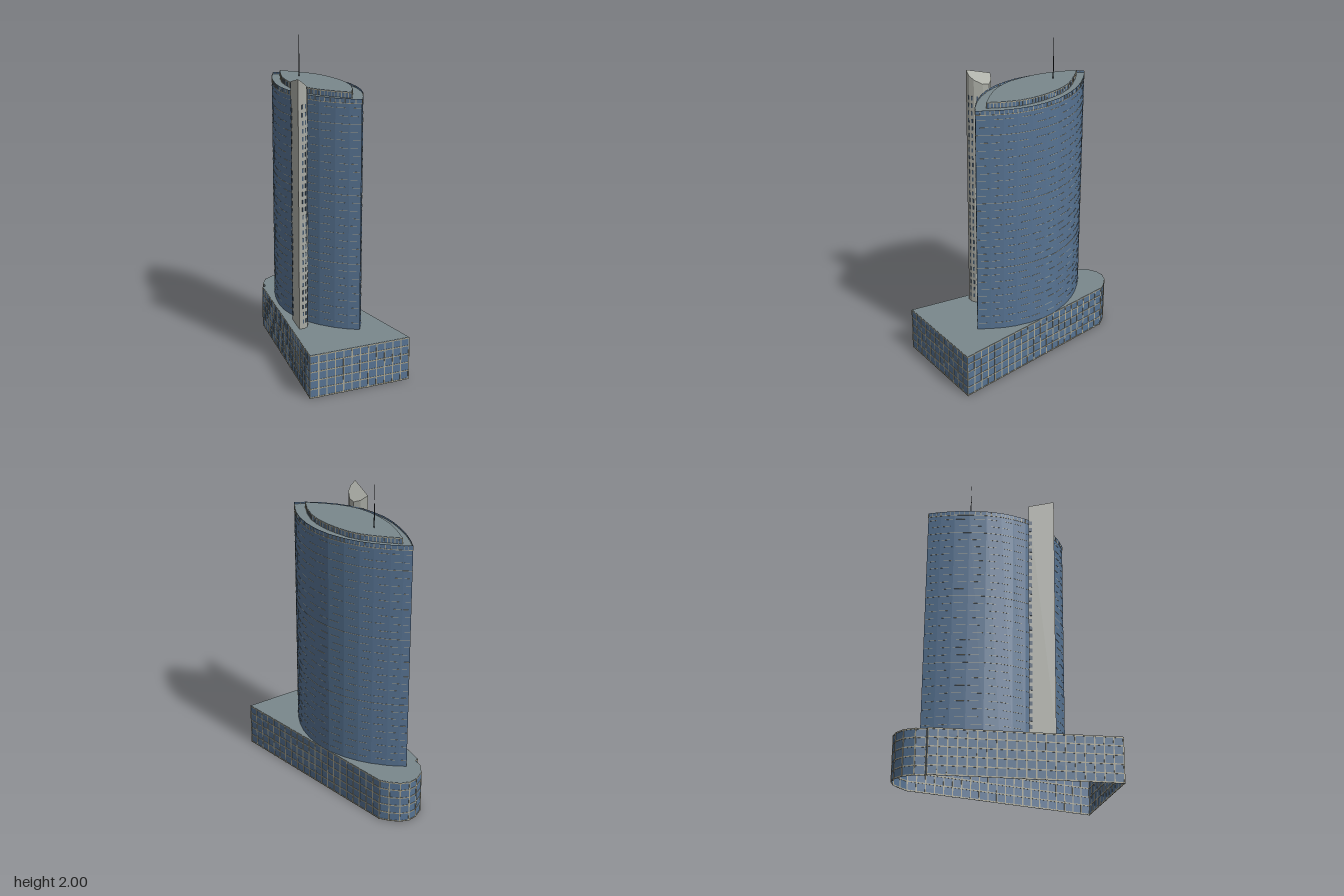
import * as THREE from 'three';
import { mergeGeometries } from 'three/addons/utils/BufferGeometryUtils.js';

const mat = (name, color, side = THREE.FrontSide) => {
  const m = new THREE.MeshStandardMaterial({ color, side });
  m.name = name;
  return m;
};

// Plan outlines, as [x, z] corners
const PODIUM = [[0.617, 0.048], [0.2, 0.547], [-0.565, -0.265], [-0.555, -0.285], [-0.597, -0.33],
  [-0.618, -0.4], [-0.605, -0.47], [-0.575, -0.515], [-0.525, -0.542], [-0.46, -0.55], [-0.4, -0.547]];
const TOWER_BACK = [[-0.52, -0.363], [-0.445, -0.38], [-0.306, -0.39], [-0.18, -0.378], [-0.025, -0.328],
  [0.1, -0.247], [0.2, -0.14], [0.26, -0.035], [0.304, 0.081]];
const TOWER_FRONT = [[0.304, 0.081], [0.2, 0.113], [0.05, 0.124], [-0.08, 0.103], [-0.197, 0.05],
  [-0.296, -0.02], [-0.396, -0.137], [-0.47, -0.253], [-0.52, -0.363]];
const CAP_BACK = [[-0.452, -0.33], [-0.313, -0.34], [-0.187, -0.332], [-0.075, -0.29], [0.05, -0.213],
  [0.15, -0.108], [0.22, 0.04]];
const CAP_FRONT = [[0.22, 0.04], [0.05, 0.055], [-0.065, 0.04], [-0.164, 0], [-0.28, -0.088],
  [-0.363, -0.18], [-0.452, -0.33]];
const FIN = [[-0.137, 0.124], [-0.098, 0.106], [-0.055, 0.107], [-0.022, 0.135], [-0.002, 0.184],
  [-0.006, 0.214], [-0.028, 0.24]];

const smooth = (pts, n) =>
  new THREE.CatmullRomCurve3(pts.map(([x, z]) => new THREE.Vector3(x, 0, z)))
    .getPoints(n).slice(0, n).map((p) => [p.x, p.z]);

const edges = (pts) => pts.map((a, i) => [a, pts[(i + 1) % pts.length]]);
const length = (a, b) => Math.hypot(b[0] - a[0], b[1] - a[1]);
const mix = (a, b, t) => [a[0] + (b[0] - a[0]) * t, a[1] + (b[1] - a[1]) * t];
const planShape = (pts) => new THREE.Shape(pts.map(([x, z]) => new THREE.Vector2(x, -z)));

// Solid prism standing on a plan outline
function prism(pts, y0, y1) {
  return new THREE.ExtrudeGeometry(planShape(pts), { depth: y1 - y0, bevelEnabled: false })
    .rotateX(-Math.PI / 2).translate(0, y0, 0);
}

// Thin upright wall that follows a plan outline
function ribbon(pts, y0, y1) {
  const pos = [];
  for (const [a, b] of edges(pts)) {
    const [p, q, r, s] = [[a, y0], [b, y0], [b, y1], [a, y1]].map(([c, y]) => [c[0], y, c[1]]);
    // outlines run clockwise or not; the walls are double sided
    pos.push(...p, ...q, ...r, ...p, ...r, ...s);
  }
  const g = new THREE.BufferGeometry();
  g.setAttribute('position', new THREE.Float32BufferAttribute(pos, 3));
  g.computeVertexNormals();
  return g;
}

// Slim bar lying on a wall from a to b, between y0 and y1
function bar(a, b, y0, y1, depth) {
  const m = mix(a, b, 0.5);
  return new THREE.BoxGeometry(length(a, b), y1 - y0, depth)
    .rotateY(Math.atan2(a[1] - b[1], b[0] - a[0])).translate(m[0], (y0 + y1) / 2, m[1]);
}

// Evenly spaced upright bars along an outline
function uprights(pts, spacing, width, y0, y1, depth) {
  const out = [];
  for (const [a, b] of edges(pts)) {
    const len = length(a, b), n = Math.max(1, Math.round(len / spacing)), w = width / len / 2;
    for (let i = 0; i < n; i++) {
      out.push(bar(mix(a, b, i / n - w), mix(a, b, i / n + w), y0, y1, depth));
    }
  }
  return out;
}

export function createModel() {
  const glass = mat('blue glass', 0x567291);
  const wall = mat('blue glass wall', 0x567291, THREE.DoubleSide);
  const roof = mat('grey roof', 0x7a888c, THREE.DoubleSide);
  const frame = mat('tan frame', 0xa9a694);
  const stone = mat('pale stone', 0xaaaca5);
  const dark = mat('dark metal', 0x2b2e32);
  const slot = mat('slate window', 0x465a70);

  const model = new THREE.Group();
  model.name = 'officeTower';
  const add = (name, geometry, material) => {
    const m = new THREE.Mesh(geometry, material);
    m.name = name;
    model.add(m);
    return m;
  };

  // Podium: open-bottomed glass shell with a window grid
  const podiumTop = 0.28;
  add('podiumWalls', ribbon(PODIUM, 0, podiumTop), wall);
  add('podiumRoof', new THREE.ShapeGeometry(planShape(PODIUM)).rotateX(-Math.PI / 2)
    .translate(0, podiumTop, 0), roof);
  const grid = uprights(PODIUM, 0.056, 0.007, 0, podiumTop - 0.001, 0.004);
  for (const y of [0.002, 0.056, 0.111, 0.166, 0.221, 0.271]) {
    for (const [a, b] of edges(PODIUM)) grid.push(bar(a, b, y, y + 0.007, 0.004));
  }
  add('podiumFrames', mergeGeometries(grid), frame);

  // Tower: pointed oval shaft with a low parapet
  const tower = [...smooth(TOWER_BACK, 12), ...smooth(TOWER_FRONT, 12)];
  add('towerShaft', prism(tower, podiumTop, 1.71), [roof, glass]);
  add('towerParapet', ribbon(tower, 1.69, 1.722), wall);

  // Floor lines: short dashes, with full bands on a few floors
  const lines = [];
  for (let f = 0; f < 29; f++) {
    const y = 0.32 + f * 0.048, full = f === 8 || f === 17 || f === 26;
    edges(tower).forEach(([a, b], i) => {
      const s = full ? 0 : 0.1 + 0.2 * ((i + f) % 2);
      lines.push(bar(mix(a, b, s), mix(a, b, full ? 1 : s + 0.6), y, y + 0.003, 0.003));
    });
  }
  for (const [a, b] of edges(tower)) lines.push(bar(a, b, 1.692, 1.696, 0.004));
  lines.push(...uprights(tower, 0.03, 0.004, 1.694, 1.718, 0.003));
  add('towerFloorLines', mergeGeometries(lines), frame);

  // Raised roof cap with a ribbed rim
  const cap = [...smooth(CAP_BACK, 10), ...smooth(CAP_FRONT, 10)];
  add('roofCap', prism(cap, 1.705, 1.746), [roof, glass]);
  const ribs = uprights(cap, 0.022, 0.005, 1.71, 1.744, 0.004);
  for (const [a, b] of edges(cap)) ribs.push(bar(a, b, 1.739, 1.744, 0.004));
  add('roofCapRibs', mergeGeometries(ribs), frame);

  // Antenna in two stages
  add('antennaBase', new THREE.CylinderGeometry(0.003, 0.003, 0.14, 8).translate(-0.265, 1.815, -0.23), dark);
  add('antennaTip', new THREE.CylinderGeometry(0.0013, 0.0013, 0.12, 6).translate(-0.265, 1.94, -0.23), dark);

  // Half-round stone shaft whose top slopes down towards its back
  const fin = prism(FIN, podiumTop, 1.7);
  const p = fin.attributes.position;
  for (let i = 0; i < p.count; i++) {
    if (p.getY(i) < 1) continue;
    const dx = p.getX(i) + 0.137, dz = p.getZ(i) - 0.124;
    p.setY(i, 1.792 + 0.28 * (0.685 * dx + 0.729 * dz) - 0.75 * (0.729 * dx - 0.685 * dz));
  }
  fin.computeVertexNormals();
  add('stoneShaft', fin, stone);

  // Columns of small windows on the stone shaft
  const slots = [];
  const flatA = FIN[0], flatB = FIN[FIN.length - 1];
  const columns = [[flatA, flatB, 0.01, 0.13], [FIN[3], FIN[4], 0.55, 0.72],
    [FIN[4], FIN[5], 0.3, 0.6], [FIN[5], FIN[6], 0.1, 0.35]];
  for (const [a, b, s, t] of columns) {
    for (let f = 0; f < 29; f++) {
      const y = 0.315 + f * 0.048;
      slots.push(bar(mix(a, b, s), mix(a, b, t), y, y + 0.026, 0.004));
    }
  }
  add('stoneShaftWindows', mergeGeometries(slots), slot);

  return model;
}
